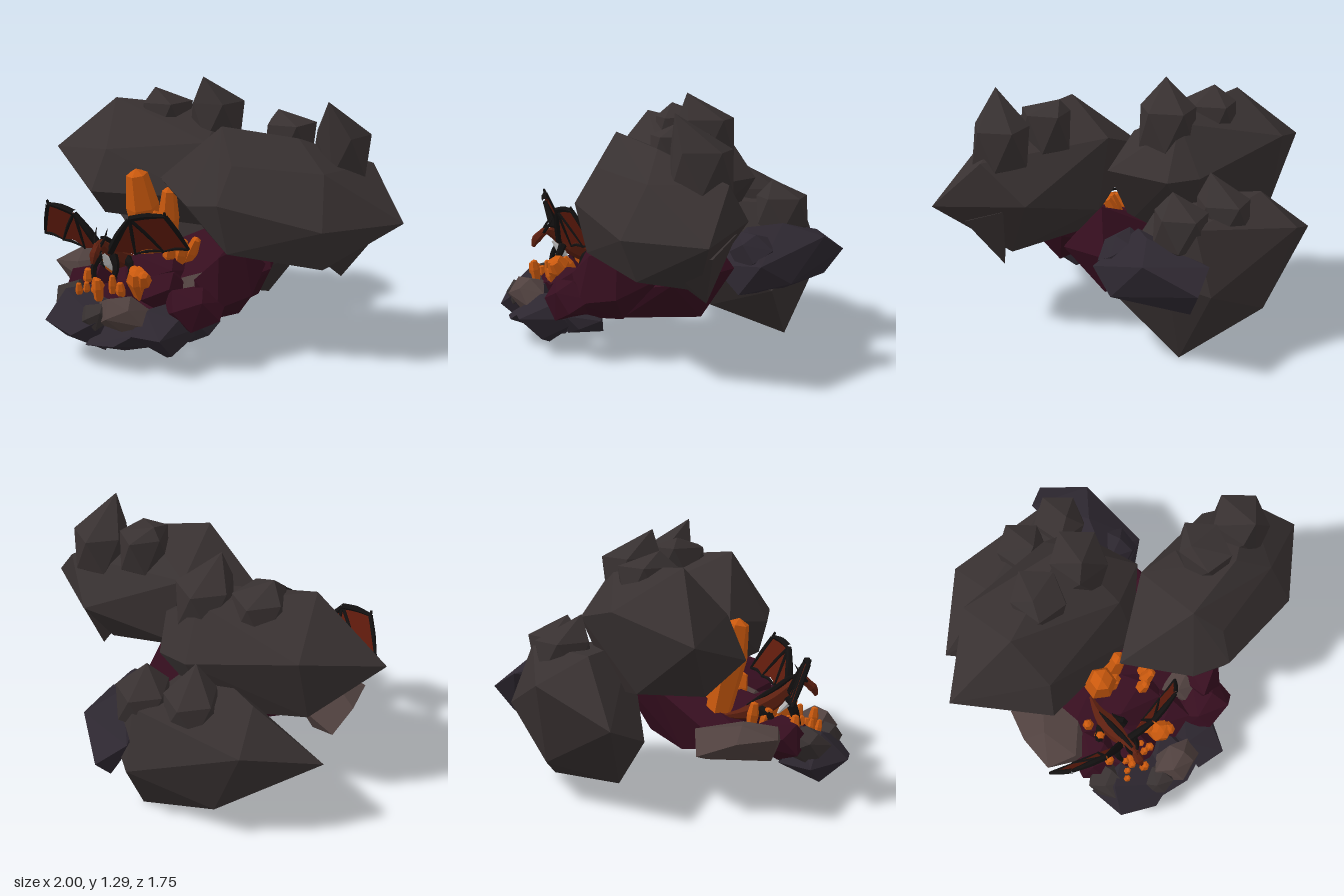
import * as THREE from 'three';
import { ConvexGeometry } from 'three/addons/geometries/ConvexGeometry.js';

const V = (p) => new THREE.Vector3(...p);
const mat = (color, side = THREE.FrontSide) => new THREE.MeshStandardMaterial({ color, side, flatShading: true });
const M = {
  stone: mat(0x383131), slate: mat(0x2d2730), maroon: mat(0x360e1f), brown: mat(0x50413f),
  orange: mat(0xcc5a0e), black: mat(0x121010), hide: mat(0x5e2010), membrane: mat(0x5e1a0c, THREE.DoubleSide), pale: mat(0xcccccc),
};

export function createModel() {
  const root = new THREE.Group();
  const add = (name, geo, m, parent = root) => {
    const mesh = new THREE.Mesh(geo, m);
    mesh.name = name;
    parent.add(mesh);
    return mesh;
  };
  const hull = (name, m, pts) => add(name, new ConvexGeometry(pts.map(V)), m);

  // Small irregular boulder: jittered points on an ellipsoid
  let seed = 7;
  const rand = () => (seed = (seed * 16807) % 2147483647) / 2147483647;
  const boulder = (name, m, c, s) => {
    const pts = [], n = 13;
    for (let i = 0; i < n; i++) {
      const y = 1 - (2 * (i + 0.5)) / n, r = Math.sqrt(1 - y * y), a = i * 2.4, k = 0.9 + 0.3 * rand();
      pts.push([c[0] + s[0] * k * r * Math.cos(a), c[1] + s[1] * k * y, c[2] + s[2] * k * r * Math.sin(a)]);
    }
    return hull(name, m, pts);
  };

  // Twelve-cornered lump with a drawn-out apex, growing from a big rock
  const peak = (name, apex, c, s) => {
    const pts = [apex, [c[0], c[1] - s[1], c[2]]];
    for (let i = 0; i < 10; i++) {
      const a = -Math.PI / 2 + (i * Math.PI) / 5;
      pts.push([c[0] + 0.95 * s[0] * Math.cos(a), c[1] + (i % 2 ? -0.4 : 0.5) * s[1], c[2] + 0.95 * s[2] * Math.sin(a)]);
    }
    return hull(name, M.stone, pts);
  };

  // Three great grey rocks
  hull('rightGreatRock', M.stone, [
    [1, 0.7, 0.21], [0.8, 0.94, 0.04], [0.5, 1.08, 0.28], [0.15, 1.13, 0.38], [-0.22, 0.83, 0.29],
    [0.12, 0.98, 0.02], [0.64, 0.74, -0.12], [0.04, 0.77, 0.55], [0.22, 0.8, 0.61], [0.7, 0.7, 0.52],
    [0.62, 0.42, 0.12], [0.15, 0.44, 0.2], [0.25, 0.56, 0.56], [0.66, 0.94, 0.38], [0.2, 0.62, -0.02],
    [0.68, 0.5, 0.44], [0.25, 0.97, 0.5]]);
  peak('rightTallPeak', [0.63, 1.255, 0.24], [0.66, 0.98, 0.12], [0.15, 0.21, 0.16]);
  peak('rightLowPeak', [0.34, 1.185, 0.12], [0.41, 1.03, 0.14], [0.13, 0.2, 0.16]);
  hull('rightUnderSpur', M.stone, [[0.67, 0.37, 0.1], [0.57, 0.55, 0.32], [0.86, 0.62, 0.14], [0.72, 0.7, -0.03], [0.72, 0.6, 0.33]]);

  hull('leftGreatRock', M.stone, [
    [-1, 0.87, -0.04], [-0.62, 1.165, -0.02], [-0.12, 1.1, -0.28], [-0.68, 0.98, -0.36], [-0.14, 0.86, -0.45],
    [0.02, 0.85, -0.41], [0.17, 0.84, -0.07], [-0.06, 0.98, 0.08], [-0.06, 0.72, 0.2], [-0.57, 0.93, 0.2],
    [-0.62, 0.72, 0.28], [-0.65, 0.56, 0.08], [-0.7, 0.6, -0.25], [-0.2, 0.5, -0.3], [0, 0.52, 0]]);
  peak('leftTallPeak', [-0.15, 1.29, -0.09], [-0.11, 1.05, -0.18], [0.15, 0.21, 0.165]);
  peak('leftLowPeak', [-0.43, 1.22, -0.1], [-0.38, 1.04, -0.14], [0.14, 0.21, 0.16]);

  hull('backGreatRock', M.stone, [
    [-0.85, 0.47, -0.39], [-0.55, 0.62, -0.7], [0, 0.4, -0.8], [0.15, 0.45, -0.65], [0.28, 0.3, -0.4],
    [0.04, 0, -0.58], [0, 0.18, -0.17], [-0.42, 0.08, -0.3], [-0.5, 0.74, -0.45], [0.02, 0.7, -0.68],
    [-0.1, 0.72, -0.2], [0.1, 0.4, -0.14], [-0.6, 0.34, -0.2], [-0.4, 0.2, -0.65]]);
  peak('backTallPeak', [-0.2, 0.885, -0.45], [-0.22, 0.68, -0.54], [0.14, 0.17, 0.15]);
  peak('backLowPeak', [0.04, 0.84, -0.5], [0.03, 0.66, -0.56], [0.14, 0.17, 0.15]);

  // Dark slate rock at the back
  hull('backSlateRock', M.slate, [
    [0.12, 0.46, -0.88], [0, 0.55, -0.78], [0.3, 0.57, -0.68], [0.37, 0.45, -0.3], [0.36, 0.35, -0.47],
    [0.13, 0.61, -0.32], [0.18, 0.63, -0.5], [0.27, 0.29, -0.22], [0.1, 0.42, -0.14], [0.15, 0.27, -0.5], [0.1, 0.33, -0.78]]);
  boulder('backSlateLump', M.slate, [0.21, 0.5, -0.32], [0.12, 0.11, 0.12]);

  // Maroon bedrock joining everything
  hull('maroonBedrock', M.maroon, [
    [0.2, 0.65, -0.06], [0.26, 0.43, -0.2], [0.18, 0.17, -0.05], [0.14, 0.19, 0.35], [0.32, 0.38, 0.15],
    [0.02, 0.3, 0.58], [0, 0.42, 0.3], [-0.5, 0.34, 0.28], [-0.55, 0.25, 0.5], [-0.3, 0.19, 0.6],
    [-0.2, 0.17, 0.05], [-0.1, 0.5, -0.1], [-0.6, 0.28, 0.2]]);
  hull('maroonShard', M.maroon, [[0.28, 0.57, 0.42], [0.2, 0.53, 0.54], [0.1, 0.43, 0.6], [0.33, 0.33, 0.44],
    [0.24, 0.21, 0.38], [0.1, 0.2, 0.55], [0.22, 0.3, 0.6], [0.05, 0.3, 0.3], [0.31, 0.42, 0.2], [0.16, 0.46, 0.25]]);

  // Angular slate slabs along the front foot
  hull('frontSlateLeft', M.slate, [[-0.64, 0.17, 0.6], [-0.56, 0.08, 0.67], [-0.6, 0.2, 0.8], [-0.42, 0.17, 0.87],
    [-0.3, 0.07, 0.75], [-0.3, 0.24, 0.83], [-0.45, 0.34, 0.6], [-0.55, 0.33, 0.68], [-0.28, 0.31, 0.6], [-0.35, 0.12, 0.52]]);
  hull('frontSlateMiddle', M.slate, [[-0.25, 0.04, 0.65], [-0.2, 0.14, 0.86], [-0.36, 0.12, 0.84], [-0.08, 0.07, 0.6],
    [-0.1, 0.2, 0.82], [-0.3, 0.25, 0.7], [-0.15, 0.25, 0.58], [-0.38, 0.15, 0.5], [-0.22, 0.17, 0.42]]);
  hull('frontSlateRight', M.slate, [[0.04, 0.2, 0.86], [-0.12, 0.2, 0.85], [0, 0.06, 0.7], [0.05, 0.09, 0.75],
    [0.07, 0.26, 0.72], [-0.1, 0.29, 0.72], [0.15, 0.2, 0.56], [0, 0.3, 0.55], [-0.1, 0.12, 0.6]]);
  hull('sideBrownRock', M.brown, [[-0.78, 0.36, 0.2], [-0.74, 0.3, 0.02], [-0.77, 0.37, 0.4], [-0.6, 0.24, 0.1],
    [-0.65, 0.23, 0.4], [-0.55, 0.3, 0.48], [-0.5, 0.39, 0.3], [-0.68, 0.42, 0.25], [-0.55, 0.38, 0.05], [-0.62, 0.39, 0.44]]);

  // Boulders around the foot: material, centre, half size
  [
    ['maroon', [0.09, 0.3, 0.61], [0.16, 0.11, 0.12]], ['maroon', [-0.1, 0.32, 0.52], [0.13, 0.1, 0.13]],
    ['maroon', [-0.52, 0.3, 0.48], [0.13, 0.1, 0.13]], ['maroon', [-0.35, 0.27, 0.55], [0.16, 0.08, 0.15]],
    ['maroon', [-0.2, 0.35, 0.35], [0.2, 0.12, 0.14]], ['slate', [0.06, 0.18, 0.55], [0.13, 0.08, 0.12]],
    ['brown', [-0.2, 0.27, 0.76], [0.12, 0.1, 0.09]], ['brown', [0.06, 0.34, 0.45], [0.1, 0.09, 0.1]],
    ['stone', [-0.55, 0.27, 0.61], [0.09, 0.09, 0.1]], ['stone', [-0.33, 0.25, 0.77], [0.08, 0.07, 0.08]],
  ].forEach(([m, c, s]) => boulder(m + 'Boulder', M[m], c, s));

  // Six-sided crystals from base to tip
  const up = new THREE.Vector3(0, 1, 0);
  const crystal = (base, tip, r) => {
    const d = V(tip).sub(V(base)), h = d.length();
    const prof = [[0, 0], [r * 0.7, 0], [r, h * 0.65], [r * 0.65, h * 0.95], [0, h]].map((p) => new THREE.Vector2(...p));
    const c = add('crystal', new THREE.LatheGeometry(prof, 6), M.orange);
    c.position.set(...base);
    c.quaternion.setFromUnitVectors(up, d.normalize());
  };
  [
    [[-0.3, 0.3, 0.2], [-0.345, 0.87, 0.31], 0.085], [[-0.24, 0.3, 0.18], [-0.19, 0.78, 0.25], 0.055],
    [[-0.28, 0.32, 0.22], [-0.25, 0.66, 0.3], 0.045],
    [[-0.12, 0.32, 0.28], [-0.01, 0.55, 0.31], 0.035], [[-0.13, 0.32, 0.32], [-0.06, 0.55, 0.36], 0.035],
    [[-0.16, 0.32, 0.34], [-0.12, 0.54, 0.39], 0.035], [[-0.2, 0.3, 0.55], [-0.19, 0.45, 0.63], 0.06],
    [[-0.18, 0.3, 0.55], [-0.15, 0.44, 0.64], 0.04], [[-0.22, 0.32, 0.5], [-0.24, 0.44, 0.57], 0.035],
    [[-0.46, 0.3, 0.34], [-0.48, 0.48, 0.36], 0.03], [[-0.44, 0.3, 0.4], [-0.46, 0.44, 0.44], 0.03],
  ].forEach((c) => crystal(...c));
  for (let i = 0; i < 11; i++) {
    const x = -0.5 + i * 0.022, z = 0.54 + 0.14 * rand();
    crystal([x, 0.26, z], [x + 0.03 * (rand() - 0.5), 0.34 + 0.08 * rand(), z + 0.02], 0.015 + 0.012 * rand());
  }

  // Winged beast perched among the crystals
  const beast = new THREE.Group();
  beast.name = 'wingedBeast';
  beast.position.x = -0.39;
  root.add(beast);

  // Tube whose radius follows a list of values
  const limb = (name, m, pts, radii) => {
    const curve = new THREE.CatmullRomCurve3(pts.map(V)), n = 3 * (pts.length - 1);
    const geo = new THREE.TubeGeometry(curve, n, 1, 6), pos = geo.attributes.position;
    for (let i = 0; i < pos.count; i++) {
      const t = Math.floor(i / 7) / n, f = t * (radii.length - 1), k = Math.min(Math.floor(f), radii.length - 2);
      const r = radii[k] + (radii[k + 1] - radii[k]) * (f - k), c = curve.getPointAt(t);
      pos.setXYZ(i, c.x + (pos.getX(i) - c.x) * r, c.y + (pos.getY(i) - c.y) * r, c.z + (pos.getZ(i) - c.z) * r);
    }
    return add(name, geo, m, beast);
  };
  limb('body', M.hide, [[0.03, 0.38, 0.2], [0, 0.4, 0.34], [0, 0.46, 0.48], [0, 0.53, 0.57], [0, 0.56, 0.62], [0, 0.53, 0.66]],
    [0.001, 0.025, 0.05, 0.045, 0.026, 0.02]);
  limb('backRidge', M.black, [[0, 0.44, 0.34], [0, 0.51, 0.47], [0, 0.575, 0.57], [0, 0.585, 0.62]], [0.003, 0.014, 0.014, 0.006]);
  limb('head', M.hide, [[0, 0.55, 0.64], [0, 0.51, 0.68], [0, 0.475, 0.695]], [0.02, 0.026, 0.01]);
  limb('belly', M.pale, [[0, 0.39, 0.5], [0, 0.44, 0.54], [0, 0.5, 0.59]], [0.005, 0.025, 0.006]);

  for (const side of [-1, 1]) {
    // Wing plane: swept back towards the tip, top edge leaning forward
    const P = (x, y, z = 0.56 - 0.28 * x + 0.4 * (y - 0.5)) => [side * x, y, z];
    limb('horn', M.black, [P(0.012, 0.55, 0.64), P(0.025, 0.58, 0.62), P(0.03, 0.63, 0.59)], [0.01, 0.007, 0.001]);
    limb('foreLeg', M.black, [P(0.03, 0.48, 0.54), P(0.06, 0.43, 0.57), P(0.045, 0.34, 0.6)], [0.022, 0.016, 0.01]);
    limb('hindLeg', M.black, [P(0.03, 0.42, 0.4), P(0.08, 0.4, 0.44), P(0.06, 0.3, 0.45)], [0.03, 0.02, 0.01]);

    // Scalloped wing skin
    const s = new THREE.Shape();
    s.moveTo(0.02, 0.5);
    s.lineTo(0.15, 0.69);
    s.lineTo(0.32, 0.71);
    s.quadraticCurveTo(0.35, 0.62, 0.4, 0.53);
    s.quadraticCurveTo(0.34, 0.56, 0.28, 0.51);
    s.quadraticCurveTo(0.2, 0.55, 0.14, 0.49);
    s.quadraticCurveTo(0.08, 0.51, 0.02, 0.5);
    const skin = new THREE.ShapeGeometry(s, 4), pos = skin.attributes.position;
    for (let i = 0; i < pos.count; i++) pos.setXYZ(i, ...P(pos.getX(i), pos.getY(i)));
    add('wingMembrane', skin, M.membrane, beast);

    // Wing arm and fingers
    [[[0.02, 0.5], [0.15, 0.69], 0.02], [[0.15, 0.69], [0.32, 0.71], 0.016], [[0.32, 0.71], [0.4, 0.53], 0.012],
      [[0.15, 0.69], [0.28, 0.51], 0.01], [[0.15, 0.69], [0.14, 0.49], 0.01], [[0.4, 0.53], [0.28, 0.515], 0.008],
      [[0.28, 0.515], [0.14, 0.495], 0.008], [[0.32, 0.71], [0.32, 0.735], 0.008]]
      .forEach(([a, b, r]) => limb('wingBone', M.black, [P(...a), P((a[0] + b[0]) / 2, (a[1] + b[1]) / 2 + 0.008), P(...b)], [r, r, r * 0.6]));
  }
  return root;
}
